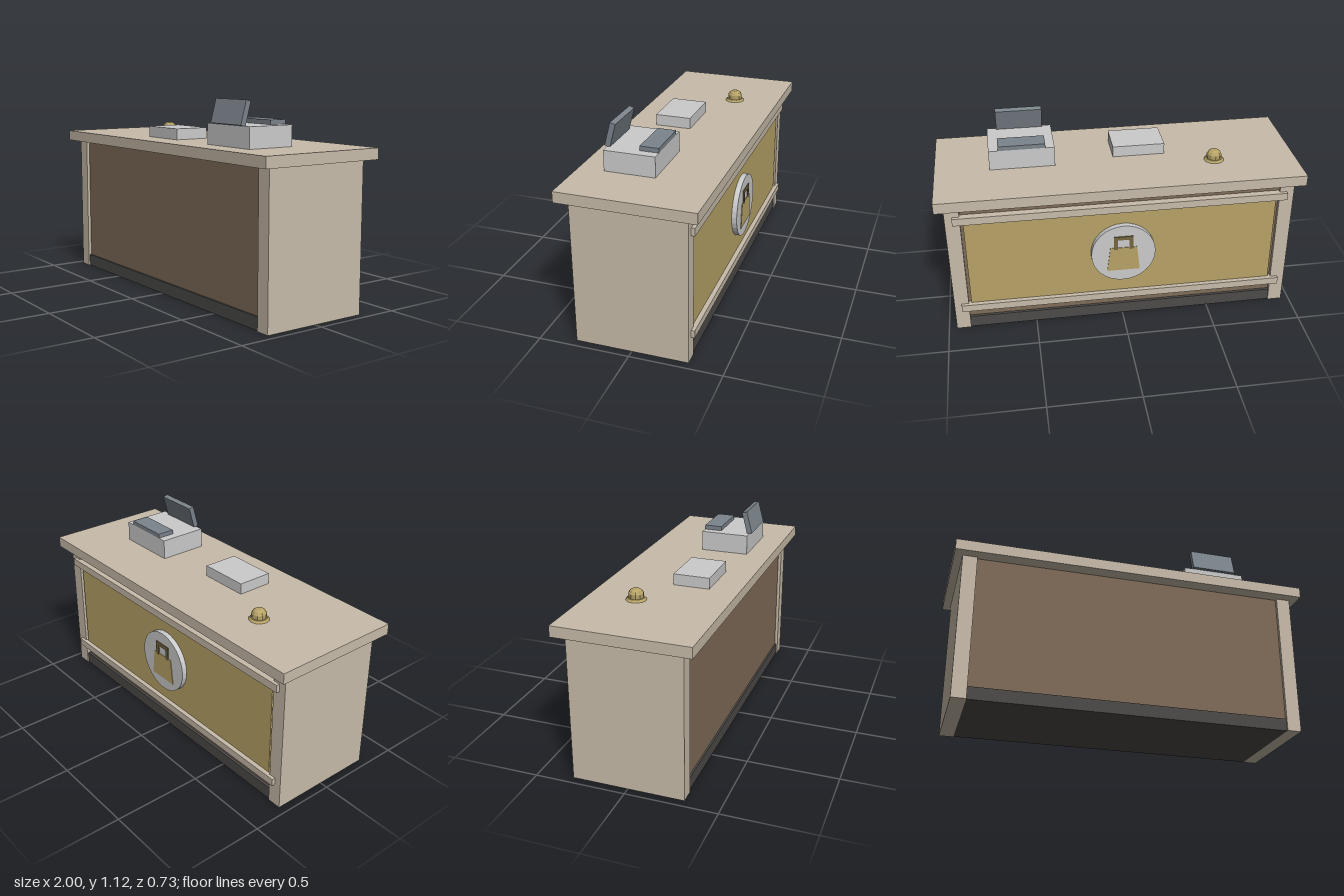
import * as THREE from 'three';

const material = (color) => new THREE.MeshStandardMaterial({ color, flatShading: true });

export function createModel() {
  const model = new THREE.Group();
  model.name = 'serviceCounter';

  const tan = material(0xc8bcaa);
  const brown = material(0x806c58);
  const dark = material(0x4c4b49);
  const slate = material(0x7c848c);
  const gold = material(0xb8a468);
  const bronze = material(0x75653f);
  const grey = material(0xcccccc);

  const add = (name, geometry, mat, parent = model) => {
    const mesh = new THREE.Mesh(geometry, mat);
    mesh.name = name;
    parent.add(mesh);
    return mesh;
  };
  // Box given by its extents along each axis
  const box = (name, mat, [x0, x1], [y0, y1], [z0, z1], parent) => {
    const mesh = add(name, new THREE.BoxGeometry(x1 - x0, y1 - y0, z1 - z0), mat, parent);
    mesh.position.set((x0 + x1) / 2, (y0 + y1) / 2, (z0 + z1) / 2);
    return mesh;
  };

  // Counter carcass
  box('countertop', tan, [-1, 1], [0.812, 0.872], [-0.367, 0.367]);
  box('body', brown, [-0.875, 0.875], [0.07, 0.812], [-0.285, 0.29]);
  box('plinth', dark, [-0.875, 0.875], [0, 0.07], [-0.3, 0.3]);
  box('leftEndPanel', tan, [0.875, 0.955], [0, 0.812], [-0.307, 0.308]);
  box('rightEndPanel', tan, [-0.955, -0.875], [0, 0.812], [-0.307, 0.308]);

  // Decorated back: panel between two rails
  box('backPanel', gold, [-0.86, 0.86], [0.15, 0.72], [-0.3, -0.28]);
  box('upperRail', tan, [-0.915, 0.915], [0.703, 0.746], [-0.326, -0.285]);
  box('lowerRail', tan, [-0.915, 0.915], [0.128, 0.17], [-0.326, -0.285]);

  // Round plaque with a raised bag shape
  const plaque = add('plaque', new THREE.CylinderGeometry(0.18, 0.18, 0.035, 32), grey);
  plaque.rotation.x = Math.PI / 2;
  plaque.position.set(0, 0.44, -0.312);

  const bag = new THREE.Group();
  bag.name = 'bagRelief';
  model.add(bag);
  const outline = new THREE.Shape([
    new THREE.Vector2(-0.092, 0.33), new THREE.Vector2(0.092, 0.33),
    new THREE.Vector2(0.075, 0.48), new THREE.Vector2(-0.075, 0.48),
  ]);
  const bagBody = add('bagBody',
    new THREE.ExtrudeGeometry(outline, { depth: 0.012, bevelEnabled: false }), gold, bag);
  bagBody.position.z = -0.333;
  for (const side of [-1, 1]) {
    const x = side * 0.043;
    box('handlePost', bronze, [x - 0.011, x + 0.011], [0.47, 0.553], [-0.335, -0.32], bag);
  }
  box('handleBar', bronze, [-0.032, 0.032], [0.531, 0.553], [-0.335, -0.32], bag);

  // Cash register
  const register = new THREE.Group();
  register.name = 'register';
  model.add(register);
  box('registerBase', grey, [0.34, 0.7], [0.872, 0.985], [-0.05, 0.227], register);
  box('keypad', slate, [0.39, 0.648], [0.985, 1.01], [-0.05, 0.052], register);
  const screen = box('screen', slate, [0.39, 0.648], [0.983, 1.114], [0.193, 0.223], register);
  screen.rotation.x = -0.26;
  screen.position.z = 0.21;

  // Flat tray
  box('tray', grey, [-0.28, 0.012], [0.872, 0.934], [0, 0.203]);

  // Service bell: flared foot and faceted dome
  const bell = new THREE.Group();
  bell.name = 'bell';
  bell.position.set(-0.542, 0.872, -0.106);
  model.add(bell);
  const foot = add('bellFoot', new THREE.CylinderGeometry(0.046, 0.056, 0.012, 12), gold, bell);
  foot.position.y = 0.006;
  const dome = [[0, 0.01], [0.04, 0.01], [0.041, 0.036], [0.033, 0.05], [0.018, 0.06], [0, 0.061]]
    .map(([r, y]) => new THREE.Vector2(r, y));
  add('bellDome', new THREE.LatheGeometry(dome, 10), gold, bell);

  return model;
}
